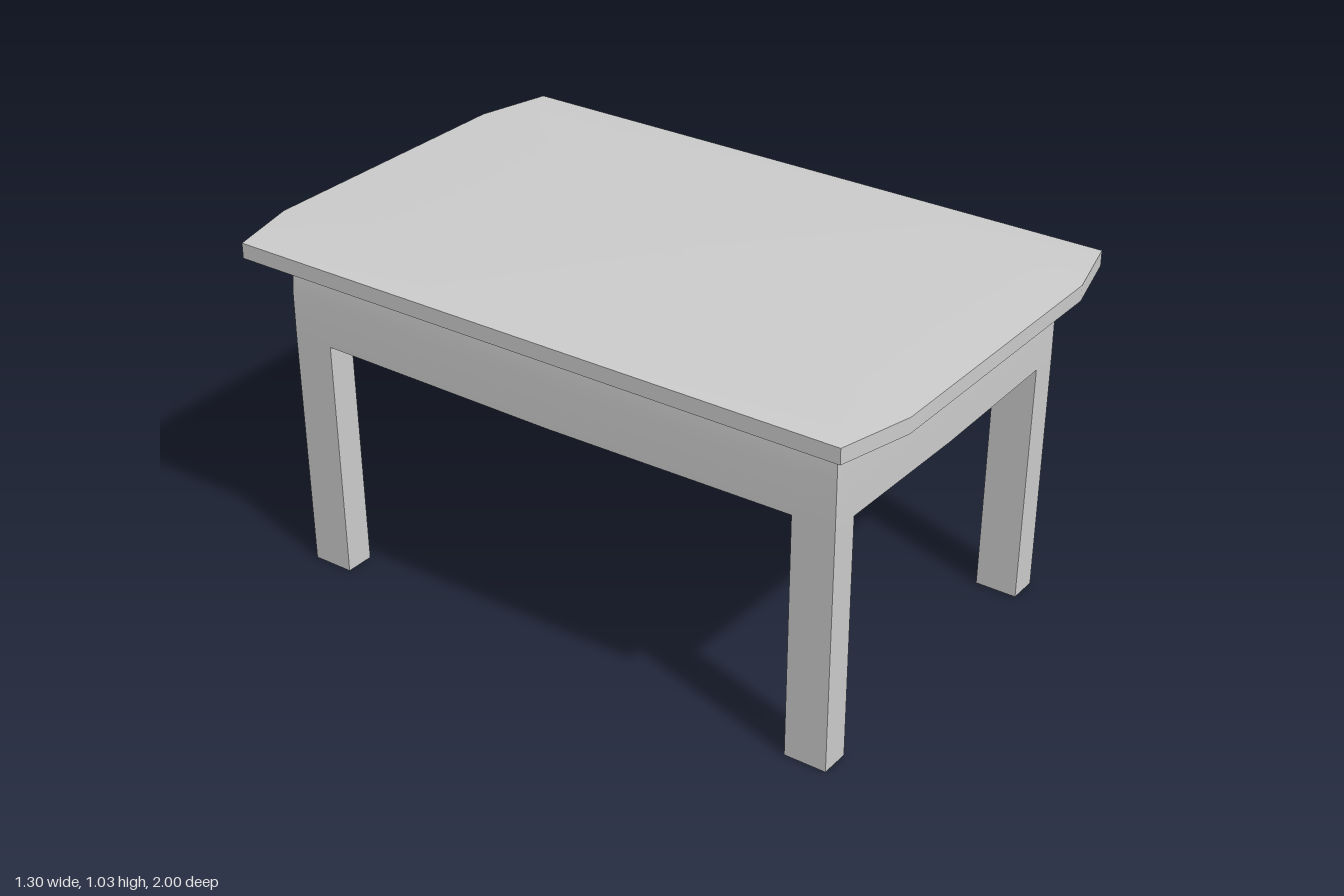
import * as THREE from 'three';
import { toCreasedNormals } from 'three/addons/utils/BufferGeometryUtils.js';

// Mirror a front-right quarter outline (from x = 0 round to z = 0) into a full ring.
function fullRing(quarter) {
  const flip = (sx, sz) => quarter.map(([x, y, z]) => [x * sx, y, z * sz]);
  const all = [...flip(1, 1), ...flip(1, -1).reverse(), ...flip(-1, -1), ...flip(-1, 1).reverse()];
  const same = (a, b) => Math.hypot(a[0] - b[0], a[1] - b[1], a[2] - b[2]) < 1e-6;
  return all.filter((p, i) => !same(p, all[(i + 1) % all.length]));
}

// Stacked rings joined by quads, listed from bottom to top.
function wall(rings) {
  const out = [];
  for (let k = 0; k + 1 < rings.length; k++) {
    const lo = rings[k], hi = rings[k + 1];
    lo.forEach((a, i) => {
      const j = (i + 1) % lo.length;
      out.push(a, lo[j], hi[j], a, hi[j], hi[i]);
    });
  }
  return out;
}

// Fan from a central point, facing up or down.
function cap(ring, y, up) {
  return ring.flatMap((p, i) => {
    const q = ring[(i + 1) % ring.length];
    return up ? [[0, y, 0], p, q] : [[0, y, 0], q, p];
  });
}

function part(name, points, material) {
  const geometry = new THREE.BufferGeometry();
  geometry.setAttribute('position', new THREE.Float32BufferAttribute(points.flat(), 3));
  const mesh = new THREE.Mesh(toCreasedNormals(geometry, 0.5), material);
  mesh.name = name;
  return mesh;
}

export function createModel() {
  const table = new THREE.Group();
  table.name = 'table';
  const grey = new THREE.MeshStandardMaterial({ color: 0xcccccc });
  grey.name = 'plain grey';

  // Tabletop: clipped ends, with the rim dropping slightly from a flat field
  const topOutline = y => fullRing([[0, y, 1], [0.43, y, 1], [0.65, y, 0.945], [0.65, y, 0]]);
  const field = fullRing([[0, 1.028, 0.89], [0.43, 1.028, 0.87], [0.53, 1.028, 0.85], [0.6, 1.028, 0]]);
  const under = topOutline(0.977), rim = topOutline(1.022);
  table.add(part('tabletop', [
    ...cap(under, 0.977, false), ...wall([under, rim, field]), ...cap(field, 1.028, true),
  ], grey));

  // Apron: rounded in at the top, its lower edge sagging a little mid-span
  const apronRing = (x, z, yLeg, yMid) => fullRing([
    [0, yMid, z], [0.46, yLeg, z], [x, yLeg, z], [x, yLeg, 0.75], [x, yMid, 0],
  ]);
  const underside = fullRing([
    [0, 0.714, 0.875], [0.46, 0.722, 0.875], [0.46, 0.722, 0.75],
    [0.545, 0.722, 0.75], [0.545, 0.714, 0],
  ]);
  table.add(part('apron', [
    ...cap(underside, 0.714, false),
    ...wall([
      apronRing(0.545, 0.875, 0.722, 0.714),
      apronRing(0.545, 0.875, 0.86, 0.86),
      apronRing(0.541, 0.872, 0.93, 0.93),
      apronRing(0.534, 0.866, 0.978, 0.978),
    ]),
  ], grey));

  // Legs: flush with the apron, leaning in very slightly towards the foot
  const legRing = (sx, sz, y, xi, xo, zi, zo) => {
    const [x0, x1] = sx > 0 ? [xi, xo] : [-xo, -xi];
    const [z0, z1] = sz > 0 ? [zi, zo] : [-zo, -zi];
    return [[x0, y, z1], [x1, y, z1], [x1, y, z0], [x0, y, z0]];
  };
  for (const sx of [1, -1]) {
    for (const sz of [1, -1]) {
      const foot = legRing(sx, sz, 0, 0.452, 0.54, 0.745, 0.87);
      const head = legRing(sx, sz, 0.722, 0.46, 0.545, 0.75, 0.875);
      const [a, b, c, d] = foot;
      const name = (sz > 0 ? 'front' : 'back') + (sx > 0 ? 'Left' : 'Right') + 'Leg';
      table.add(part(name, [...wall([foot, head]), a, c, b, a, d, c], grey));
    }
  }
  return table;
}
